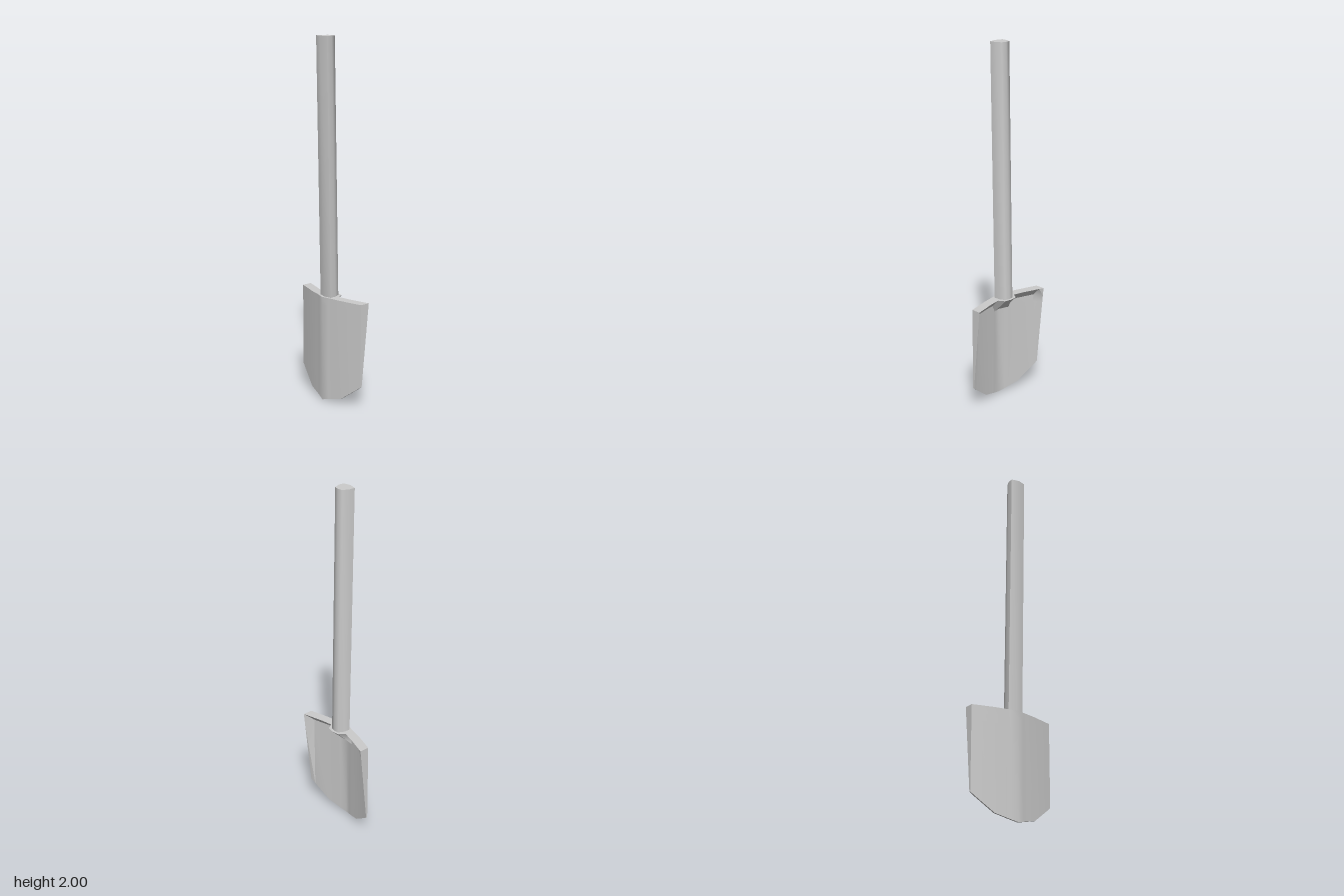
import * as THREE from 'three';
import { toCreasedNormals } from 'three/addons/utils/BufferGeometryUtils.js';

const grey = new THREE.MeshStandardMaterial({ color: 0xcccccc });

// Joins rings of [x, y, z] points from top to bottom and caps both ends.
// Each ring runs left to right along the front, then back along the rear.
function loft(name, rings, crease) {
  const n = rings[0].length;
  const last = (rings.length - 1) * n;
  const index = [];
  for (let r = 0; r < last; r += n) {
    for (let i = 0; i < n; i++) {
      const j = (i + 1) % n;
      index.push(r + i, r + n + i, r + n + j, r + i, r + n + j, r + j);
    }
  }
  for (let i = 0; i < n / 2 - 1; i++) {
    const a = i, b = i + 1, c = n - 2 - i, d = n - 1 - i;
    index.push(a, b, c, a, c, d);
    index.push(last + a, last + c, last + b, last + a, last + d, last + c);
  }
  const geometry = new THREE.BufferGeometry();
  geometry.setAttribute('position', new THREE.Float32BufferAttribute(rings.flat(2), 3));
  geometry.setIndex(index);
  const mesh = new THREE.Mesh(toCreasedNormals(geometry, crease), grey);
  mesh.name = name;
  return mesh;
}

// Curved blade: thin plate with a bevelled rear rim and a socket behind the handle
function createBlade() {
  // Per column, from the centre outwards
  const xs = [0, 0.04, 0.062, 0.125, 0.22, 0.248];
  const frontZ = [0.052, 0.041, 0.036, 0.023, -0.004, -0.012];
  const bottomY = [0, 0.011, 0.017, 0.034, 0.107, 0.13];
  // Thickness per column at each level; null is the bottom outline
  const levels = [
    { y: 0.595, depth: [0.11, 0.093, 0.054, 0.054, 0.055, 0.055] },
    { y: 0.55, depth: [0.065, 0.05, 0.01, 0.01, 0.01, 0.05] },
    { y: 0.51, depth: [0.01, 0.01, 0.01, 0.01, 0.01, 0.046] },
    { y: null, depth: [0.009, 0.009, 0.009, 0.009, 0.008, 0.008] },
  ];
  const columns = [-5, -4, -3, -2, -1, 0, 1, 2, 3, 4, 5];
  const rings = levels.map(({ y, depth }) => {
    const point = (c, rear) => {
      const k = Math.abs(c);
      return [Math.sign(c) * xs[k], y ?? bottomY[k], frontZ[k] - (rear ? depth[k] : 0)];
    };
    return [
      ...columns.map((c) => point(c, false)),
      ...[...columns].reverse().map((c) => point(c, true)),
    ];
  });
  return loft('blade', rings, 0.55);
}

// Eight-sided shaft leaning slightly forward towards its top
function createHandle() {
  const section = [
    [-0.042, 0.02], [-0.044, 0.054], [0, 0.065], [0.044, 0.054],
    [0.042, 0.02], [0.027, -0.013], [0, -0.018], [-0.027, -0.013],
  ];
  const ring = (y, shift) => section.map(([x, z]) => [x, y, z + shift]);
  return loft('handle', [ring(2, 0), ring(0.585, -0.027)], 1.0);
}

export function createModel() {
  const shovel = new THREE.Group();
  shovel.name = 'shovel';
  shovel.add(createBlade(), createHandle());
  return shovel;
}
